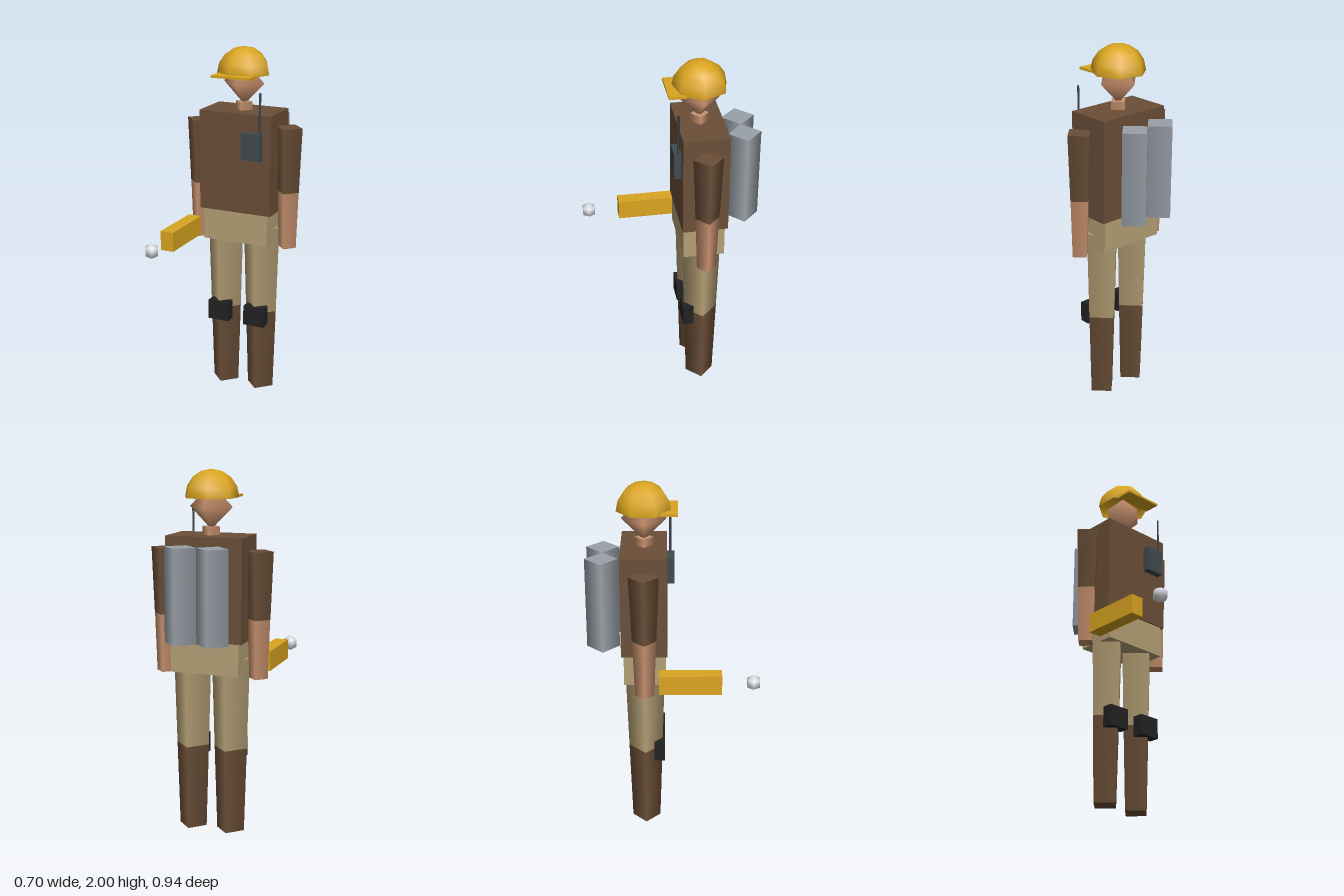
import * as THREE from 'three';

const mat = (name, color, extra = {}) => {
  const m = new THREE.MeshStandardMaterial({ color, ...extra });
  m.name = name;
  return m;
};

export function createModel() {
  const group = new THREE.Group();
  const brown = mat('brown', 0x6b4f38);
  const tan = mat('tan', 0xb5a075);
  const skin = mat('skin', 0xc8926e);
  const gold = mat('gold', 0xdaa520);
  const goldShell = mat('gold', 0xdaa520);
  goldShell.side = THREE.DoubleSide;
  const steel = mat('steel', 0x99a1a8);
  const slate = mat('slate', 0x414a4e);
  const black = mat('black', 0x222222);
  const white = mat('white', 0xdcdce4);

  const Z = -0.153; // body centre line

  const add = (name, geometry, material, x, y, z) => {
    const mesh = new THREE.Mesh(geometry, material);
    mesh.name = name;
    mesh.position.set(x, y, z);
    group.add(mesh);
    return mesh;
  };
  // box from its extents
  const box = (name, material, x0, x1, y0, y1, z0, z1) =>
    add(name, new THREE.BoxGeometry(x1 - x0, y1 - y0, z1 - z0), material,
      (x0 + x1) / 2, (y0 + y1) / 2, (z0 + z1) / 2);
  // four-sided tapered limb, smooth shaded
  const limb = (name, material, x, z, y0, y1, rBottom, rTop) =>
    add(name, new THREE.CylinderGeometry(rTop, rBottom, y1 - y0, 4), material, x, (y0 + y1) / 2, z);

  // body
  box('torso', brown, -0.215, 0.215, 1.09, 1.655, -0.28, -0.03);
  box('hips', tan, -0.195, 0.195, 0.91, 1.09, -0.267, -0.038);
  limb('neck', skin, 0, Z, 1.63, 1.7, 0.05, 0.05);
  add('head', new THREE.SphereGeometry(0.122, 4, 2), skin, 0, 1.805, Z);

  // arms, legs, knee pads and air tanks, mirrored
  for (const [s, side] of [[1, 'left'], [-1, 'right']]) {
    limb(side + 'Sleeve', brown, s * 0.271, Z, 1.212, 1.578, 0.065, 0.08);
    limb(side + 'Forearm', skin, s * 0.271, Z, 0.887, 1.212, 0.053, 0.064);
    limb(side + 'Thigh', tan, s * 0.112, Z, 0.48, 0.99, 0.095, 0.11);
    limb(side + 'Boot', brown, s * 0.112, Z, 0, 0.48, 0.08, 0.095);
    box(side + 'KneePad', black, s * 0.112 - 0.063, s * 0.112 + 0.063, 0.41, 0.525, -0.105, -0.045);
    limb(side + 'Tank', steel, s * 0.09, -0.38, 1.1, 1.61, 0.09, 0.09);
  }

  // helmet: seven-sided dome with a front brim
  const dome = add('helmetDome',
    new THREE.SphereGeometry(0.15, 7, 4, 0, Math.PI * 2, 0, Math.PI / 2), goldShell, 0, 1.853, Z);
  dome.rotation.y = Math.PI;
  box('helmetBrim', gold, -0.115, 0.113, 1.85, 1.863, -0.065, 0.028);

  // chest radio
  box('radio', slate, 0.055, 0.167, 1.407, 1.557, -0.032, 0.01);
  limb('antenna', slate, 0.158, -0.014, 1.55, 1.78, 0.007, 0.007);

  // torch in the right hand and the ball in front of it
  box('torch', gold, -0.312, -0.235, 0.912, 1.022, -0.075, 0.265);
  add('lightBall', new THREE.SphereGeometry(0.0445, 6, 3), white, -0.273, 0.966, 0.436);

  return group;
}
